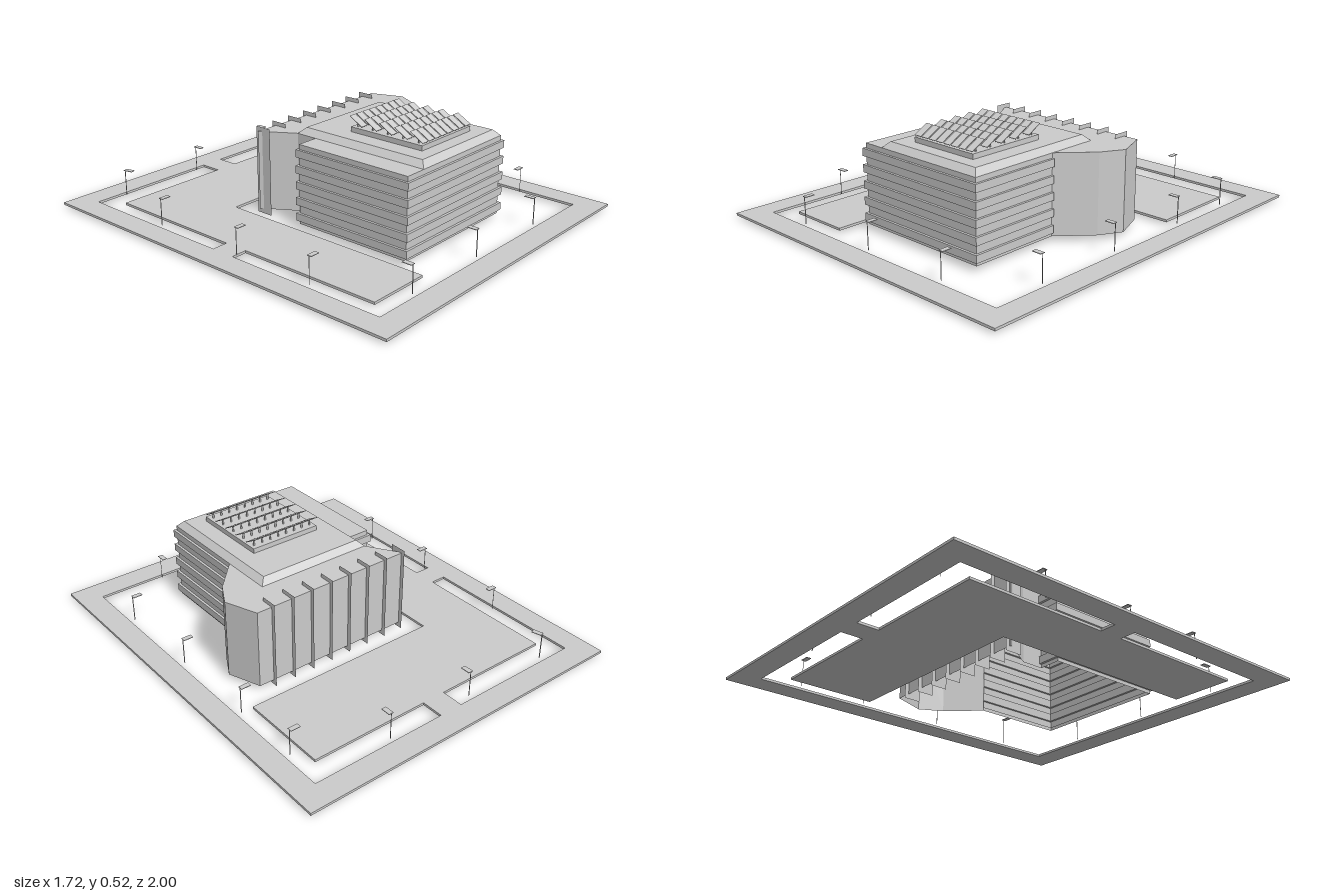
import * as THREE from 'three';

const mat = new THREE.MeshStandardMaterial({ color: 0xcccccc, side: THREE.DoubleSide, flatShading: true });

function add(parent, name, geometry, x = 0, y = 0, z = 0) {
  const m = new THREE.Mesh(geometry, mat);
  m.name = name;
  m.position.set(x, y, z);
  parent.add(m);
  return m;
}

// Plan outlines are given as [x, z] pairs
const plan = (pts) => pts.map(([x, z]) => new THREE.Vector2(x, -z));
const rect = (x0, x1, z0, z1) => [[x0, z0], [x0, z1], [x1, z1], [x1, z0]];

function planShape(outline, holes = []) {
  const s = new THREE.Shape(plan(outline));
  holes.forEach((h) => s.holes.push(new THREE.Path(plan(h))));
  return s;
}
const flat = (outline, holes) => new THREE.ShapeGeometry(planShape(outline, holes)).rotateX(-Math.PI / 2);
const slab = (outline, holes, depth) =>
  new THREE.ExtrudeGeometry(planShape(outline, holes), { depth, bevelEnabled: false }).rotateX(-Math.PI / 2);

// Sweeps an [offset, y] profile along a plan path that depends on the offset
function sweep(path, profile) {
  const pos = [];
  for (let k = 0; k < profile.length - 1; k++) {
    const [o0, y0] = profile[k], [o1, y1] = profile[k + 1];
    const p = path(o0), q = path(o1);
    for (let i = 0; i < p.length - 1; i++) {
      const a = [p[i][0], y0, p[i][1]], b = [p[i + 1][0], y0, p[i + 1][1]];
      const c = [q[i + 1][0], y1, q[i + 1][1]], d = [q[i][0], y1, q[i][1]];
      pos.push(...a, ...b, ...c, ...a, ...c, ...d);
    }
  }
  const g = new THREE.BufferGeometry();
  g.setAttribute('position', new THREE.Float32BufferAttribute(pos, 3));
  g.computeVertexNormals();
  return g;
}

const GROUND = 0.012, FLOOR = 0.024, ROOF = 0.413, DECK = 0.442, PLATFORM = 0.466;

function buildSite() {
  const site = new THREE.Group();
  site.name = 'site';
  const t = FLOOR - GROUND;
  add(site, 'perimeterRoad', slab(rect(-0.86, 0.86, -1, 1), [rect(-0.745, 0.745, -0.88, 0.875)], t), 0, GROUND);
  add(site, 'parkingArea', slab([[-0.665, -0.77], [-0.665, 0.785], [-0.35, 0.785], [-0.35, -0.33],
    [0.66, -0.33], [0.66, -0.77]], [], t), 0, GROUND);
  add(site, 'backDriveway', slab(rect(-0.06, 0.06, -0.88, -0.77), [], t), 0, GROUND);
  add(site, 'sideDriveway', slab(rect(-0.745, -0.665, -0.06, 0.06), [], t), 0, GROUND);
  return site;
}

function buildBuilding() {
  const b = new THREE.Group();
  b.name = 'building';

  // Storey walls with five projecting bands
  const stack = (o) => [[-0.185, 0.04 - o], [-0.295 - o, 0.04 - o], [-0.295 - o, 0.655 + o],
    [0.41 + o, 0.655 + o], [0.41 + o, 0.19]];
  const profile = [[0, FLOOR]];
  for (let i = 0; i < 5; i++) {
    const y = 0.042 + i * 0.0775, o = 0.012;
    profile.push([0, y], [o, y], [o, y + 0.037], [0, y + 0.037]);
  }
  profile.push([0, ROOF]);
  add(b, 'bandedWalls', sweep(stack, profile));

  // Angled rear wing
  const wing = [[0.41, 0.19], [0.55, 0.04], [0.61, -0.07], [0.55, -0.23], [-0.285, -0.23],
    [-0.185, -0.07], [-0.185, 0.04]];
  add(b, 'wingWalls', sweep(() => wing, [[0, FLOOR], [0, ROOF]]));

  // Main roof, open under the raised deck
  add(b, 'roof', flat([...stack(0), ...wing.slice(1, -1)], [rect(-0.175, 0.4, -0.06, 0.645)]), 0, ROOF);

  // Raised deck with sloped edges
  const deck = (o) => {
    const r = rect(-0.185 - o, 0.41 + o, -0.07 - o, 0.655 + o);
    return [...r, r[0]];
  };
  add(b, 'deckSlopes', sweep(deck, [[0, ROOF], [-0.029, DECK]]));
  add(b, 'deckTop', flat(deck(-0.029).slice(0, 4)), 0, DECK);

  // Thin vertical fins through the back wall
  for (let i = 0; i < 8; i++) {
    add(b, 'backFin', new THREE.PlaneGeometry(0.086, 0.433).rotateY(Math.PI / 2), -0.275 + i * 0.107, 0.2165, -0.208);
  }
  return b;
}

function buildSolarArray() {
  const array = new THREE.Group();
  array.name = 'solarArray';
  add(array, 'platform', new THREE.BoxGeometry(0.367, PLATFORM - DECK, 0.405), 0.113, (PLATFORM + DECK) / 2, 0.357);
  const panel = new THREE.BoxGeometry(0.04, 0.003, 0.081).rotateX(0.51);
  const post = new THREE.BoxGeometry(0.008, 0.03, 0.004);
  for (let row = 0; row < 5; row++) {
    for (let col = 0; col < 8; col++) {
      const x = -0.048 + col * 0.0462, z = 0.181 + row * 0.086;
      add(array, 'solarPanel', panel, x, 0.495, z);
      add(array, 'panelPost', post, x, PLATFORM + 0.014, z);
    }
  }
  return array;
}

// Street lamp: flat post with a head reaching along local +x
function buildLamp(x, z, turn) {
  const lamp = new THREE.Group();
  lamp.name = 'streetLamp';
  add(lamp, 'lampPost', new THREE.PlaneGeometry(0.005, 0.132), 0, 0.088, 0);
  add(lamp, 'lampHead', new THREE.BoxGeometry(0.048, 0.003, 0.024), 0.024, 0.153, 0);
  lamp.position.set(x, 0, z);
  lamp.rotation.y = turn;
  return lamp;
}

export function createModel() {
  const model = new THREE.Group();
  model.name = 'officeBuildingSite';
  model.add(buildSite(), buildBuilding(), buildSolarArray());

  const H = Math.PI / 2;
  [-0.68, -0.33, 0.13, 0.59].forEach((z) => model.add(buildLamp(0.72, z, Math.PI)));
  [-0.43, 0.065, 0.49].forEach((z) => model.add(buildLamp(-0.723, z, 0)));
  [-0.51, -0.055, 0.41].forEach((x) => model.add(buildLamp(x, 0.853, H)));
  [-0.13, 0.33].forEach((x) => model.add(buildLamp(x, -0.857, -H)));
  model.add(buildLamp(-0.592, -0.855, -H + 0.25));
  return model;
}
